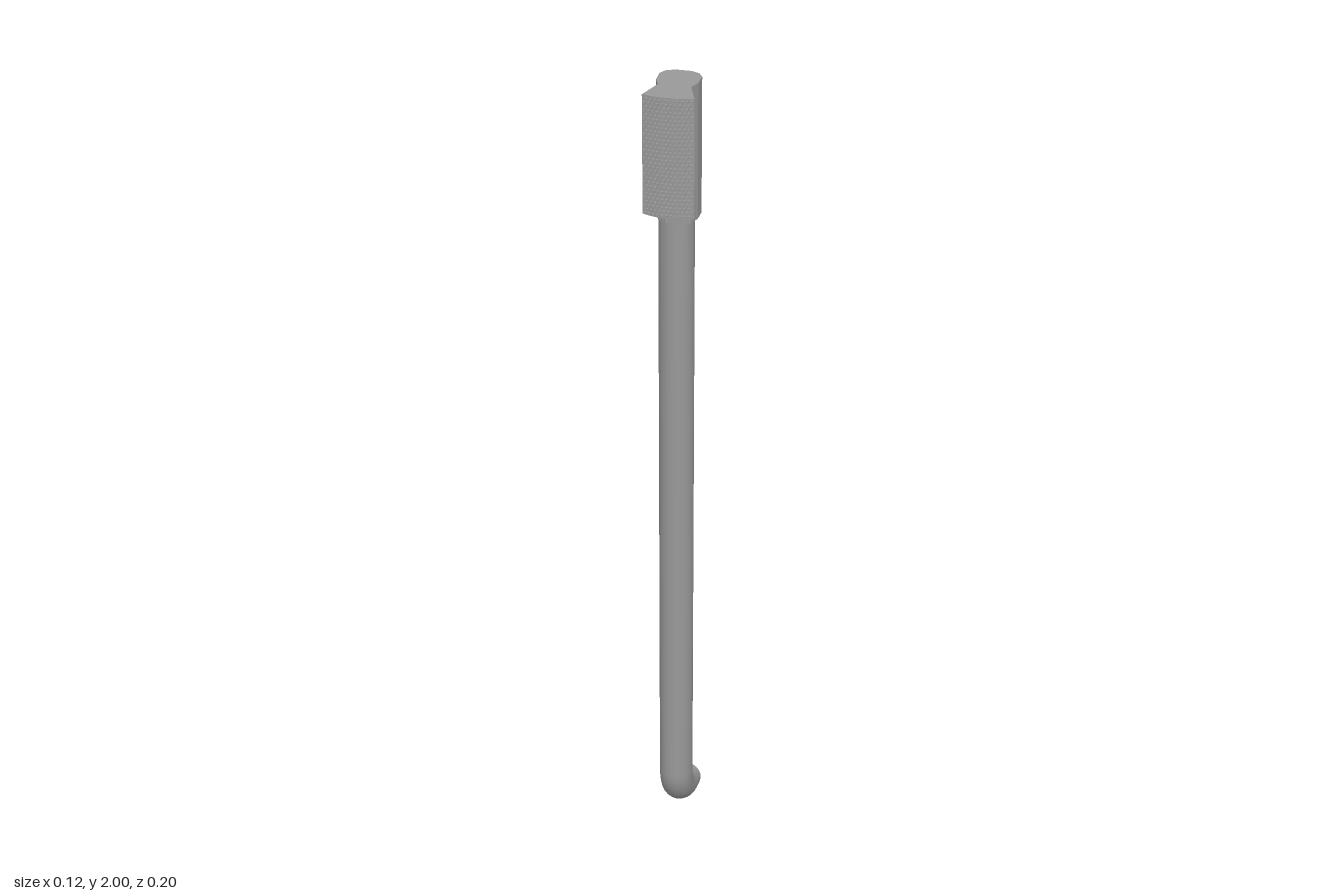
import * as THREE from 'three';
import { mergeGeometries } from 'three/addons/utils/BufferGeometryUtils.js';

// Upright prism from an outline given as [x, z] pairs
function prism(outline, bottom, top) {
  const shape = new THREE.Shape(outline.map(([x, z]) => new THREE.Vector2(x, -z)));
  return new THREE.ExtrudeGeometry(shape, { depth: top - bottom, bevelEnabled: false })
    .rotateX(-Math.PI / 2).translate(0, bottom, 0);
}

// Full outline from its +x half
const mirrored = half => [...half, ...half.slice().reverse().map(([x, z]) => [-x, z])];

export function createModel() {
  const group = new THREE.Group();
  const grey = new THREE.MeshStandardMaterial({ color: 0x999999 });
  grey.name = 'grey';
  const add = (geometry, name) => {
    const mesh = new THREE.Mesh(geometry, grey);
    mesh.name = name;
    group.add(mesh);
  };

  // Long, slightly leaning pipe that bends backwards at the foot
  const radius = 0.041, x = -0.003, endY = 0.041, endZ = -0.103;
  const v = (y, z) => new THREE.Vector3(x, y, z);
  const path = new THREE.CurvePath();
  path.add(new THREE.LineCurve3(v(1.72, -0.006), v(0.14, 0)));
  path.add(new THREE.CubicBezierCurve3(v(0.14, 0), v(0.085, 0), v(endY, -0.045), v(endY, endZ)));
  add(new THREE.TubeGeometry(path, 96, radius, 24), 'pipe');
  add(new THREE.CircleGeometry(radius, 24).rotateY(Math.PI).translate(x, endY, endZ), 'pipeEnd');

  // Faceted holder around the top of the pipe
  add(prism(mirrored([
    [0.02, 0.037], [0.037, 0.027], [0.047, 0.002], [0.048, -0.033], [0.038, -0.051], [0.018, -0.06],
  ]), 1.675, 2), 'holder');

  // Flared head with a curved front and a sloping underside
  const bottom = 1.715;
  const frontZ = px => 0.098 - 0.009 * (px / 0.058) ** 2;
  const half = [[0.037, 0.027]];
  for (const px of [0.058, 0.044, 0.029, 0.015]) half.push([px, frontZ(px)]);
  const head = prism(mirrored(half), bottom, 2);
  const p = head.attributes.position;
  for (let i = 0; i < p.count; i++) {
    if (p.getY(i) < 1.8) p.setY(i, bottom + (0.098 - p.getZ(i)) * 0.28);
  }
  head.computeVertexNormals();
  add(head, 'head');

  // Staggered small studs covering the front of the head
  const stud = new THREE.CylinderGeometry(0.0025, 0.0035, 0.005, 6).toNonIndexed().rotateX(Math.PI / 2);
  stud.computeVertexNormals();
  const studs = [];
  const rows = 30, cols = 11;
  for (let r = 0; r < rows; r++) {
    const shift = r % 2 ? 0.0025 : -0.0025;
    for (let c = 0; c < cols; c++) {
      const px = (c - (cols - 1) / 2) * 0.01 + shift;
      const py = bottom + 0.007 + r * (1.993 - bottom - 0.007) / (rows - 1);
      studs.push(stud.clone().translate(px, py, frontZ(px) + 0.001));
    }
  }
  add(mergeGeometries(studs), 'studs');

  return group;
}
